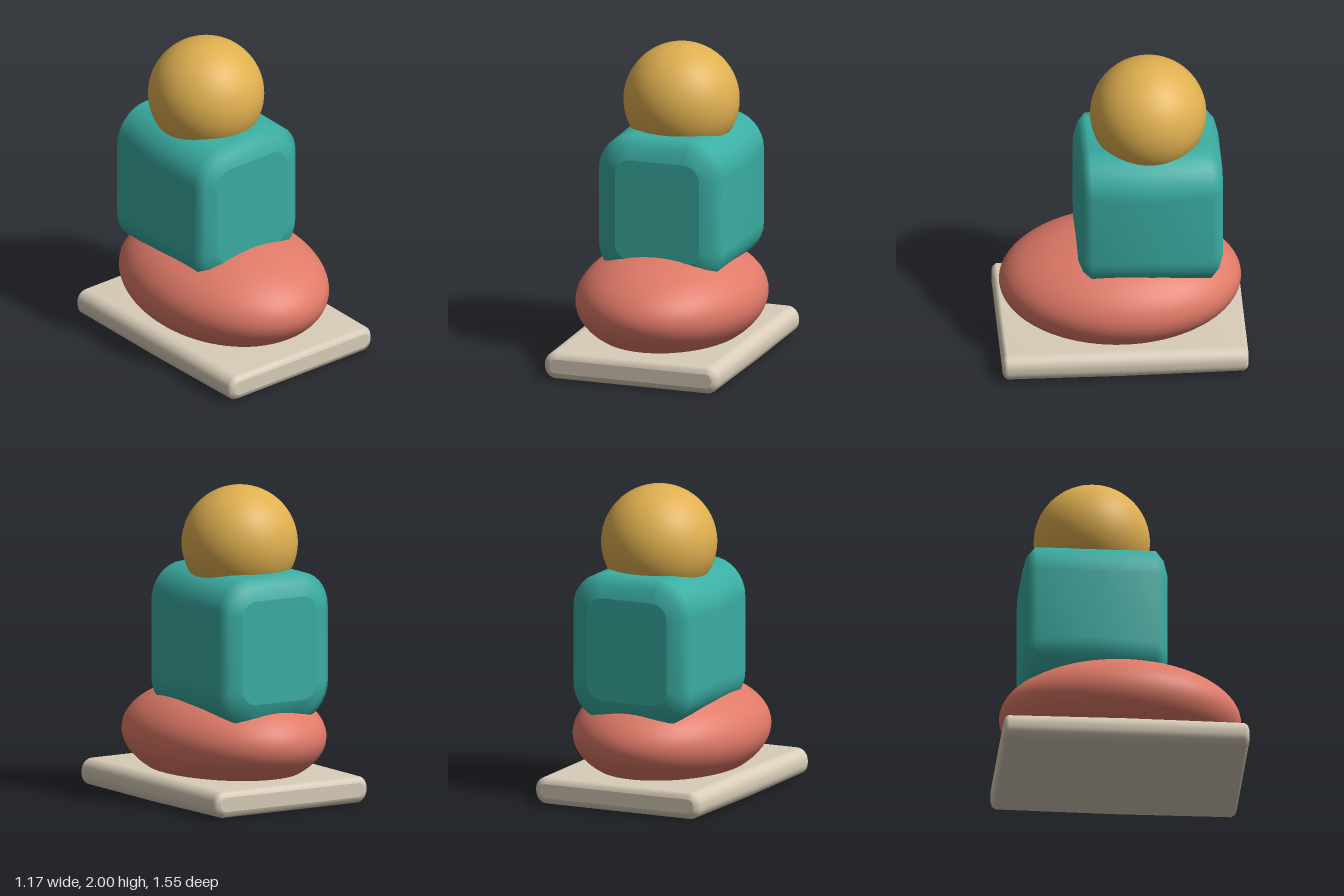
import * as THREE from 'three';

const paint = (name, color) => {
  const m = new THREE.MeshStandardMaterial({ color });
  m.name = name;
  return m;
};

// Rounded rectangle, counter-clockwise, as [x, y] points
function roundedRect(hw, hh, r, steps = 8) {
  const pts = [];
  [[1, 1], [-1, 1], [-1, -1], [1, -1]].forEach(([sx, sy], q) => {
    for (let i = 0; i <= steps; i++) {
      const a = (q + i / steps) * Math.PI / 2;
      pts.push([sx * (hw - r) + r * Math.cos(a), sy * (hh - r) + r * Math.sin(a)]);
    }
  });
  return pts;
}

// Soft block along z. rings: [z offset, x inset, y inset], from the end to the middle
function softBlock(hw, hh, r, rings) {
  const back = rings.slice(0, -1).reverse().map(([z, x, y]) => [-z, x, y]);
  const all = [...rings, ...back];
  const pos = [], index = [];
  const loops = all.map(([z, ix, iy]) =>
    roundedRect(hw - ix, hh - iy, r - Math.max(ix, iy) * 0.95).map(([x, y]) => [x, y, z]));
  const n = loops[0].length;
  loops.forEach(loop => loop.forEach(p => pos.push(...p)));
  for (let i = 0; i < loops.length - 1; i++) {
    for (let j = 0; j < n; j++) {
      const a = i * n + j, b = i * n + (j + 1) % n;
      index.push(a, a + n, b, b, a + n, b + n);
    }
  }
  // Flat end faces with their own corners, so they keep a crisp rim
  [loops[0], loops[loops.length - 1]].forEach((loop, end) => {
    const c = pos.length / 3;
    pos.push(0, 0, loop[0][2]);
    loop.forEach(p => pos.push(...p));
    for (let j = 0; j < n; j++) {
      const a = c + 1 + j, b = c + 1 + (j + 1) % n;
      index.push(c, ...(end ? [b, a] : [a, b]));
    }
  });
  const g = new THREE.BufferGeometry();
  g.setAttribute('position', new THREE.Float32BufferAttribute(pos, 3));
  g.setIndex(index);
  g.computeVertexNormals();
  return g;
}

export function createModel() {
  const model = new THREE.Group();
  const add = (name, geometry, material, x, y, z) => {
    const mesh = new THREE.Mesh(geometry, material);
    mesh.name = name;
    mesh.position.set(x, y, z);
    model.add(mesh);
    return mesh;
  };

  // Base slab
  add('base', softBlock(0.585, 0.09, 0.08, [
    [0.775, 0.045, 0.045], [0.766, 0.02, 0.02], [0.745, 0.005, 0.005], [0, 0, 0],
  ]), paint('sand', 0xd9cdb9), 0, 0.09, 0);

  // Flattened oval cushion
  const cushion = new THREE.SphereGeometry(1, 64, 40);
  cushion.scale(0.585, 0.34, 0.763);
  add('cushion', cushion, paint('coral', 0xe07a68), 0, 0.4, 0);

  // Torso block, slightly wider halfway along its depth
  add('torso', softBlock(0.432, 0.475, 0.25, [
    [0.455, 0.15, 0.145], [0.43, 0.07, 0.06], [0.38, 0.018, 0], [0, 0, 0],
  ]), paint('teal', 0x3aaea3), 0, 1.007, -0.176);

  // Ball head
  add('head', new THREE.SphereGeometry(0.366, 64, 40), paint('gold', 0xe0b050), 0, 1.634, -0.178);

  return model;
}
